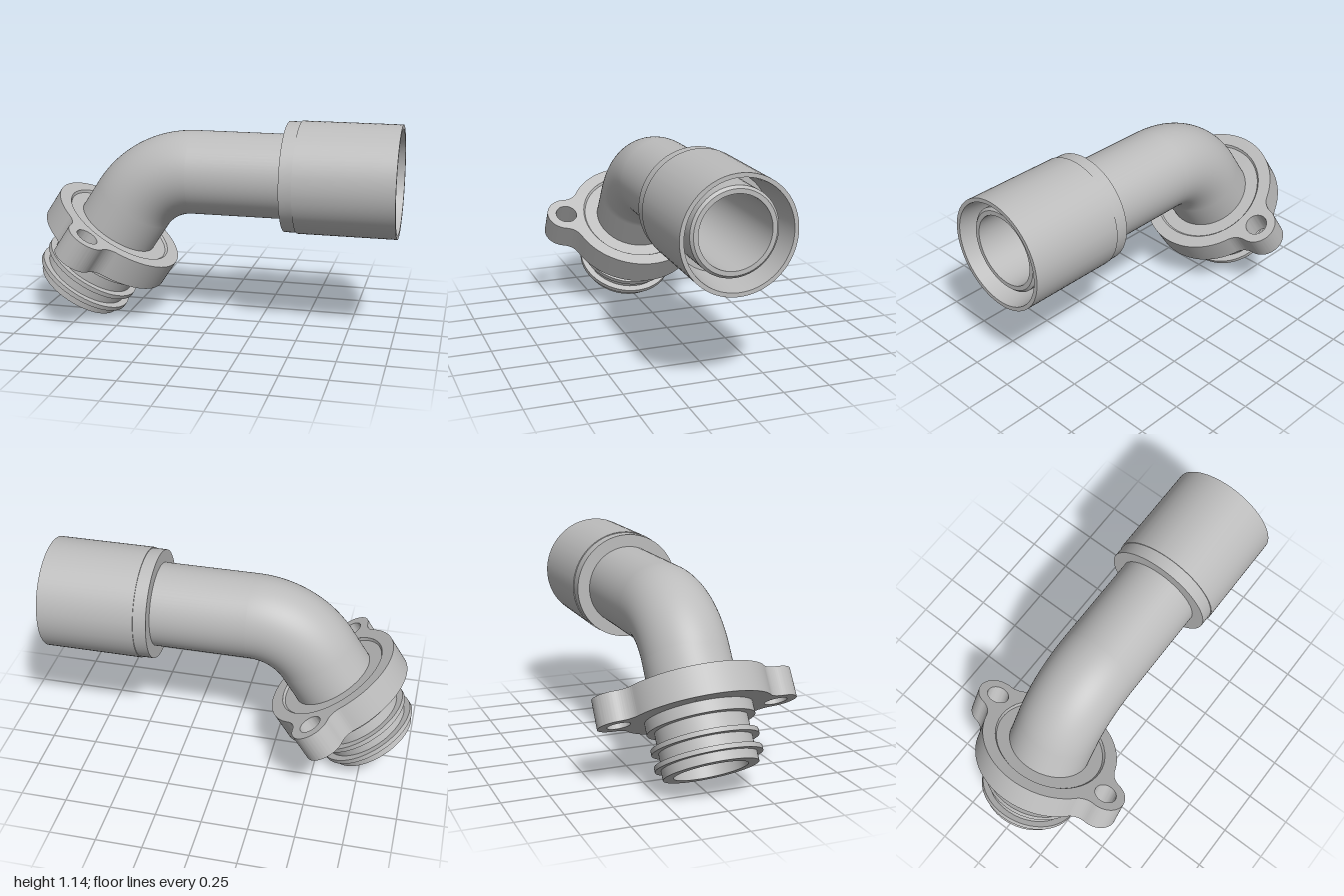
import * as THREE from 'three';
import { toCreasedNormals } from 'three/addons/utils/BufferGeometryUtils.js';

const PIPE = 0.228, BORE = 0.19;            // pipe outer and inner radius
const AXIS_Y = 0.838;                       // height of the horizontal run
const BEND = THREE.MathUtils.degToRad(57);  // elbow angle
const BEND_R = 0.42;                        // elbow centreline radius
const FLANGE = { x: -0.55, y: 0.518, thick: 0.1545, r: 0.379 };

const metal = new THREE.MeshStandardMaterial({ color: 0xbcbcbc, side: THREE.DoubleSide });
metal.name = 'grey metal';

function part(name, geometry) {
  const mesh = new THREE.Mesh(geometry, metal);
  mesh.name = name;
  return mesh;
}

// Turned part from a list of [radius, height] points, with sharp edges kept
function turned(name, points) {
  const profile = points.map(([r, h]) => new THREE.Vector2(r, h));
  return part(name, toCreasedNormals(new THREE.LatheGeometry(profile, 72), 0.5));
}

// Round flange with two filleted bolt ears
function flangeShape() {
  const R = FLANGE.r, ear = 0.11, fillet = 0.1, d = 0.414;
  const shape = new THREE.Shape();
  const first = Math.atan2(0.41, -0.056);
  const spread = Math.acos((d * d + (R + fillet) ** 2 - (ear + fillet) ** 2) / (2 * d * (R + fillet)));
  const polar = (r, a) => new THREE.Vector2(r * Math.cos(a), r * Math.sin(a));
  const heading = (from, to) => Math.atan2(to.y - from.y, to.x - from.x);

  for (const a of [first, first + Math.PI]) {
    const e = polar(d, a);
    const f1 = polar(R + fillet, a - spread), f2 = polar(R + fillet, a + spread);
    shape.absarc(f1.x, f1.y, fillet, a - spread + Math.PI, heading(f1, e), true);
    shape.absarc(e.x, e.y, ear, heading(e, f1), heading(e, f2), false);
    shape.absarc(f2.x, f2.y, fillet, heading(f2, e), a + spread + Math.PI, true);
    shape.absarc(0, 0, R, a + spread, a + Math.PI - spread, false);
    shape.holes.push(new THREE.Path().absarc(e.x, e.y, 0.06, 0, Math.PI * 2, true));
  }
  shape.holes.push(new THREE.Path().absarc(0, 0, 0.31, 0, Math.PI * 2, true));
  return shape;
}

export function createModel() {
  const model = new THREE.Group();
  model.name = 'pipeElbow';

  // Where the inclined and horizontal axes meet, and the elbow's tangent length
  const tilt = Math.PI / 2 - BEND;
  const reach = (AXIS_Y - FLANGE.y) / Math.cos(tilt);
  const tangent = BEND_R * Math.tan(BEND / 2);
  const bendX = FLANGE.x + reach * Math.sin(tilt) + tangent;
  const neckTop = reach - tangent;

  // Inclined end: flange, neck and ribbed spigot
  const lower = new THREE.Group();
  lower.name = 'flangedEnd';
  lower.position.set(FLANGE.x, FLANGE.y, 0);
  lower.rotation.z = -tilt;
  const plate = new THREE.ExtrudeGeometry(flangeShape(), {
    depth: FLANGE.thick, bevelEnabled: false, curveSegments: 24,
  }).rotateX(Math.PI / 2);
  lower.add(part('flange', toCreasedNormals(plate, 0.5)));
  lower.add(turned('neckAndSpigot', [
    [BORE, -0.453], [0.245, -0.453], [0.245, -0.405],
    [0.276, -0.405], [0.276, -0.38], [0.24, -0.38],
    [0.24, -0.32], [0.276, -0.32], [0.276, -0.295], [0.24, -0.295],
    [0.24, -0.215], [0.279, -0.215], [0.279, -FLANGE.thick], [0.31, -FLANGE.thick],
    [0.31, 0], [0.3, -0.012], [PIPE, -0.012],
    [PIPE, neckTop], [BORE, neckTop], [BORE, -0.453],
  ]));
  model.add(lower);

  // Elbow: outer skin and bore
  for (const [name, r] of [['elbow', PIPE], ['elbowBore', BORE]]) {
    const bend = part(name, new THREE.TorusGeometry(BEND_R, r, 72, 40, BEND));
    bend.position.set(bendX, AXIS_Y - BEND_R, 0);
    bend.rotation.z = Math.PI / 2;
    model.add(bend);
  }

  // Horizontal end: tube inside a hollow socket
  const upper = new THREE.Group();
  upper.name = 'socketEnd';
  upper.position.y = AXIS_Y;
  upper.rotation.z = -Math.PI / 2;
  upper.add(turned('straightTube', [
    [BORE, bendX], [PIPE, bendX], [PIPE, 0.937], [0.214, 0.95], [BORE, 0.95], [BORE, bendX],
  ]));
  upper.add(turned('socket', [
    [PIPE, 0.4], [0.297, 0.4], [0.297, 0.47], [0.302, 0.47], [0.302, 1],
    [0.28, 1], [0.255, 0.75], [PIPE, 0.75],
  ]));
  model.add(upper);

  return model;
}
